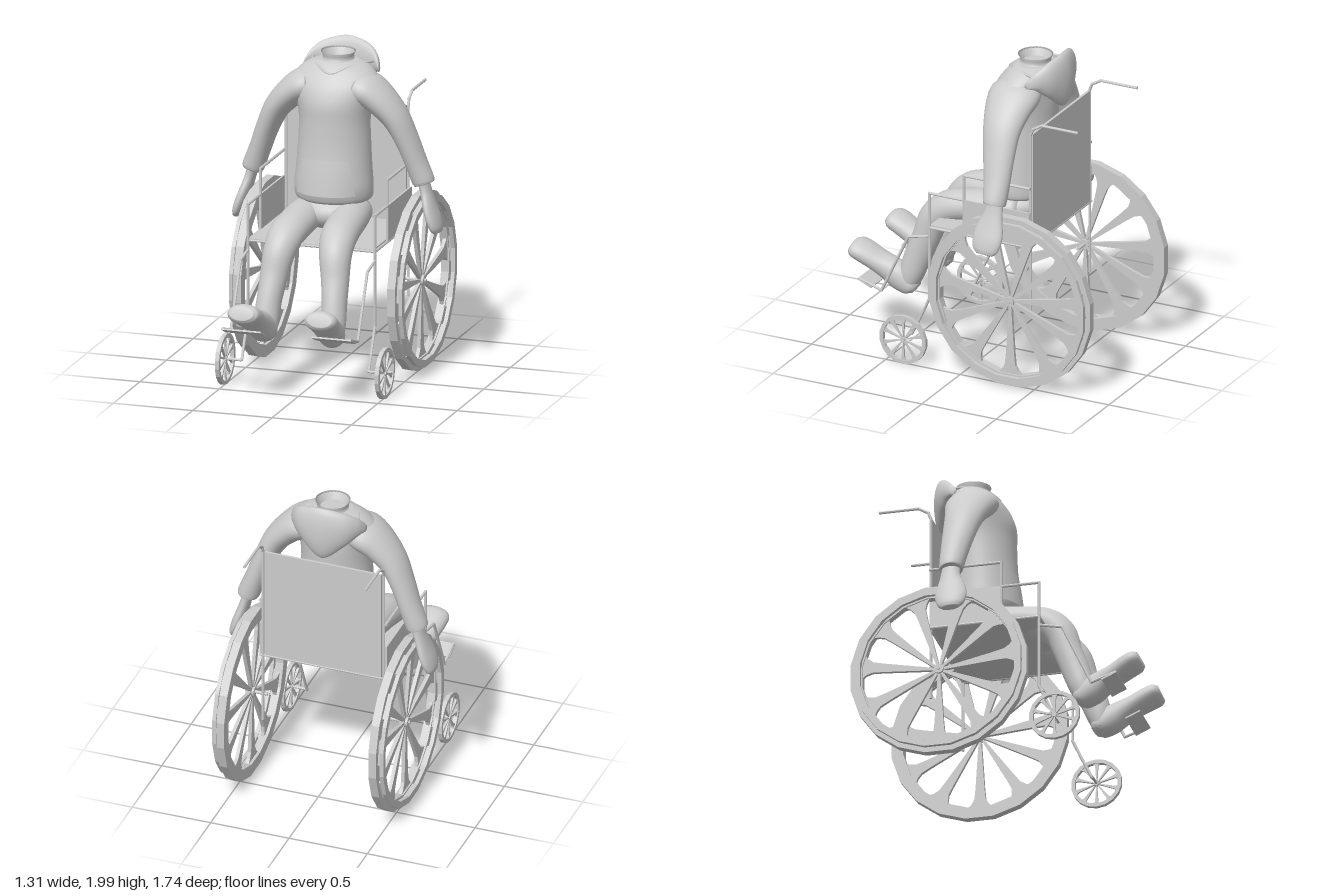
import * as THREE from 'three';
import { mergeGeometries } from 'three/addons/utils/BufferGeometryUtils.js';

const smooth = new THREE.MeshStandardMaterial({ color: 0xcccccc, side: THREE.DoubleSide });
const flat = new THREE.MeshStandardMaterial({ color: 0xcccccc, flatShading: true });
const V = (x, y, z) => new THREE.Vector3(x, y, z);
const X = V(1, 0, 0), Y = V(0, 1, 0), Z = V(0, 0, 1);

function add(parent, name, geometry, material = flat, x = 0, y = 0, z = 0) {
  const mesh = new THREE.Mesh(geometry, material);
  mesh.name = name;
  mesh.position.set(x, y, z);
  parent.add(mesh);
  return mesh;
}

// Closed body through elliptical rings: rows of [x, y, z, radius along side, other radius]
function loft(rows, side, fixed = null, seg = 28) {
  const path = new THREE.CatmullRomCurve3(rows.map(r => V(r[0], r[1], r[2])), false, 'catmullrom');
  const radii = new THREE.CatmullRomCurve3(rows.map(r => V(r[3], r[4], 0)), false, 'catmullrom');
  const n = (rows.length - 1) * 5, pos = [], idx = [];
  for (let k = -1; k <= n + 1; k++) {
    const u = Math.min(Math.max(k / n, 0), 1);
    const cap = k < 0 || k > n ? 0 : 1;
    const c = path.getPoint(u), r = radii.getPoint(u);
    const t = fixed || path.getTangent(u);
    const s = side.clone().addScaledVector(t, -t.dot(side)).normalize();
    const v = t.clone().cross(s);
    for (let j = 0; j < seg; j++) {
      const a = j / seg * Math.PI * 2;
      const p = c.clone().addScaledVector(s, cap * r.x * Math.cos(a)).addScaledVector(v, cap * r.y * Math.sin(a));
      pos.push(p.x, p.y, p.z);
    }
  }
  for (let i = 0; i < n + 2; i++) for (let j = 0; j < seg; j++) {
    const j2 = (j + 1) % seg;
    const a = i * seg + j, b = i * seg + j2, c = b + seg, d = a + seg;
    idx.push(a, b, c, a, c, d);
  }
  const g = new THREE.BufferGeometry();
  g.setAttribute('position', new THREE.Float32BufferAttribute(pos, 3));
  g.setIndex(idx);
  g.computeVertexNormals();
  return g;
}

// Straight tube segments through points
function rods(points, r = 0.009) {
  return mergeGeometries(points.slice(1).map((p, i) => {
    const d = p.clone().sub(points[i]);
    const g = new THREE.CylinderGeometry(r, r, d.length() + r, 8);
    g.applyQuaternion(new THREE.Quaternion().setFromUnitVectors(Y, d.clone().normalize()));
    return g.translate(...p.clone().add(points[i]).multiplyScalar(0.5).toArray());
  }));
}

const circle = (r, sides) => Array.from({ length: sides }, (_, i) => {
  const a = (i + 0.5) / sides * Math.PI * 2;
  return new THREE.Vector2(r * Math.cos(a), r * Math.sin(a));
});

// Flat polygonal ring from z0 to z1
function ring(outer, inner, z0, z1, sides) {
  const s = new THREE.Shape(circle(outer, sides));
  s.holes.push(new THREE.Path(circle(inner, sides)));
  return new THREE.ExtrudeGeometry(s, { depth: z1 - z0, bevelEnabled: false }).translate(0, 0, z0);
}

// Tapered spokes that flare into the rim, reaching radius R
function spokes(R, count, z0, z1) {
  const half = [[0.03, 0.014], [0.72, 0.058], [0.86, 0.072], [0.93, 0.11], [1, 0.18]];
  const outline = [...half, ...half.map(([r, w]) => [r, -w]).reverse()];
  const shape = new THREE.Shape(outline.map(([r, w]) => new THREE.Vector2(r * R, w * R)));
  return mergeGeometries(Array.from({ length: count }, (_, i) =>
    new THREE.ExtrudeGeometry(shape, { depth: z1 - z0, bevelEnabled: false })
      .translate(0, 0, z0).rotateZ(-Math.PI / 2 + i / count * Math.PI * 2)));
}

function hub(r, z0, z1) {
  return new THREE.CylinderGeometry(r, r, z1 - z0, 12).rotateX(Math.PI / 2).translate(0, 0, (z0 + z1) / 2);
}

function bigWheel() {
  const g = new THREE.Group();
  add(g, 'rim', ring(0.549, 0.475, 0.46, 0.51, 20));
  add(g, 'handRim', ring(0.523, 0.48, 0.522, 0.546, 20));
  add(g, 'spokes', spokes(0.48, 11, 0.478, 0.5));
  add(g, 'hub', hub(0.03, 0.465, 0.515));
  add(g, 'axle', hub(0.01, 0.385, 0.525));
  add(g, 'rimSpacers', mergeGeometries(Array.from({ length: 11 }, (_, i) =>
    new THREE.BoxGeometry(0.03, 0.16, 0.02).translate(0.495, 0, 0.516).rotateZ(-Math.PI / 2 + i / 11 * Math.PI * 2))));
  return g;
}

function caster() {
  const g = new THREE.Group();
  add(g, 'casterRim', ring(0.156, 0.133, 0.49, 0.516, 18));
  add(g, 'casterSpokes', spokes(0.136, 10, 0.497, 0.509));
  add(g, 'casterHub', hub(0.014, 0.49, 0.516));
  add(g, 'casterAxle', hub(0.008, 0.4, 0.51));
  return g;
}

function wheelchair() {
  const chair = new THREE.Group();
  chair.name = 'wheelchair';
  add(chair, 'seat', new THREE.BoxGeometry(0.78, 0.016, 0.67), flat, 0, 0.876, -0.075);
  add(chair, 'backrest', new THREE.BoxGeometry(0.745, 0.72, 0.016), flat, 0, 1.24, -0.415);
  add(chair, 'frontCrossTube', rods([V(-0.4, 0.872, 0.255), V(0.4, 0.872, 0.255)]));
  add(chair, 'rearCrossTube', rods([V(-0.4, 0.872, -0.415), V(0.4, 0.872, -0.415)]));
  for (const s of [1, -1]) {
    const tube = (name, x, zy) => add(chair, name, rods(zy.map(([z, y]) => V(s * x, y, z))));
    tube('backPostAndHandle', 0.385, [[-0.415, 0.42], [-0.415, 1.6], [-0.43, 1.64], [-0.49, 1.675], [-0.73, 1.675]]);
    tube('armrest', 0.4, [[0.025, 0.875], [0.025, 1.255], [-0.415, 1.255]]);
    tube('seatRail', 0.4, [[0.255, 0.872], [-0.415, 0.872]]);
    tube('frontFrame', 0.4, [[0.025, 1.095], [0.258, 1.095], [0.258, 0.41], [0.315, 0.285], [0.375, 0.16]]);
    tube('footrestHanger', 0.4, [[0.258, 0.815], [0.4, 0.785], [0.58, 0.4], [0.73, 0.45]]);
    add(chair, 'sidePanel', new THREE.BoxGeometry(0.012, 0.225, 0.445), flat, s * 0.4, 0.985, -0.195);
    const plate = add(chair, 'footPlate', new THREE.BoxGeometry(0.25, 0.01, 0.1), flat, s * 0.285, 0.428, 0.69);
    plate.rotation.x = -0.42;
    const wheel = bigWheel(), front = caster();
    wheel.name = 'bigWheel';
    wheel.position.set(0, 0.547, -0.335);
    front.name = 'casterWheel';
    front.position.set(0, 0.16, 0.38);
    wheel.rotation.y = front.rotation.y = s * Math.PI / 2;
    chair.add(wheel, front);
  }
  return chair;
}

function person() {
  const body = new THREE.Group();
  body.name = 'seatedPerson';
  add(body, 'torso', loft([
    [0, 1.065, -0.17, 0.215, 0.185], [0, 1.085, -0.17, 0.236, 0.2], [0, 1.15, -0.166, 0.24, 0.212],
    [0, 1.25, -0.17, 0.232, 0.205], [0, 1.4, -0.178, 0.222, 0.195], [0, 1.55, -0.182, 0.217, 0.193],
    [0, 1.66, -0.185, 0.232, 0.195], [0, 1.74, -0.195, 0.262, 0.182], [0, 1.8, -0.212, 0.268, 0.167],
    [0, 1.85, -0.23, 0.228, 0.146], [0, 1.885, -0.245, 0.178, 0.124], [0, 1.905, -0.25, 0.12, 0.1]], X, Y, 40), smooth);
  add(body, 'pelvis', new THREE.SphereGeometry(1, 28, 18).scale(0.215, 0.115, 0.2), smooth, 0, 0.995, -0.15);

  // Front pocket laid over the belly
  const pocket = new THREE.PlaneGeometry(2, 1, 16, 6);
  const p = pocket.attributes.position;
  for (let i = 0; i < p.count; i++) {
    const v = p.getY(i) + 0.5, x = p.getX(i) * (0.185 - 0.04 * v);
    const front = 0.046 - 0.024 * v, bulge = 0.01 * (1 - v * v * 0.8);
    p.setXYZ(i, x, 1.12 + 0.215 * v, -0.165 + (front + 0.165) * Math.sqrt(1 - (x / 0.237) ** 2) + bulge);
  }
  pocket.computeVertexNormals();
  add(body, 'pocket', pocket, smooth);

  // Hollow neck opening, hood and collar
  add(body, 'neck', new THREE.LatheGeometry([[0.13, 1.875], [0.096, 1.905], [0.094, 1.93], [0.106, 1.953],
    [0.096, 1.945], [0.08, 1.91], [0.05, 1.86], [0, 1.85]].map(q => new THREE.Vector2(...q)), 32), smooth, 0, 0, -0.25);
  add(body, 'hood', loft([
    [-0.235, 1.84, -0.315, 0.02, 0.02], [-0.205, 1.862, -0.36, 0.036, 0.055], [-0.135, 1.856, -0.407, 0.048, 0.112],
    [0, 1.825, -0.437, 0.05, 0.173],
    [0.135, 1.856, -0.407, 0.048, 0.112], [0.205, 1.862, -0.36, 0.036, 0.055], [0.235, 1.84, -0.315, 0.02, 0.02]], Z, X), smooth);
  add(body, 'collar', new THREE.TubeGeometry(new THREE.CatmullRomCurve3([
    V(-0.19, 1.878, -0.34), V(-0.165, 1.885, -0.26), V(-0.1, 1.883, -0.15), V(0, 1.85, -0.086),
    V(0.1, 1.883, -0.15), V(0.165, 1.885, -0.26), V(0.19, 1.878, -0.34)]), 40, 0.008, 8), smooth);

  for (const s of [1, -1]) {
    const limb = (name, rows, side) => add(body, name, loft(rows.map(([x, ...r]) => [s * x, ...r]), side), smooth);
    limb('sleeve', [[0.13, 1.765, -0.205, 0.15, 0.09], [0.2, 1.742, -0.208, 0.163, 0.1], [0.28, 1.685, -0.208, 0.146, 0.092],
      [0.37, 1.585, -0.214, 0.12, 0.079], [0.435, 1.455, -0.228, 0.101, 0.069], [0.49, 1.31, -0.243, 0.085, 0.066],
      [0.532, 1.2, -0.25, 0.074, 0.068], [0.54, 1.175, -0.25, 0.068, 0.062]], Z);
    limb('hand', [[0.533, 1.2, -0.25, 0.056, 0.034], [0.555, 1.12, -0.25, 0.062, 0.032], [0.583, 1.03, -0.24, 0.09, 0.035],
      [0.605, 0.965, -0.235, 0.096, 0.037], [0.624, 0.91, -0.232, 0.082, 0.032], [0.635, 0.882, -0.23, 0.055, 0.02]], Z);
    limb('leg', [[0.135, 0.98, -0.22, 0.09, 0.085], [0.142, 0.975, -0.05, 0.11, 0.098], [0.152, 0.955, 0.12, 0.113, 0.097],
      [0.163, 0.922, 0.245, 0.11, 0.1], [0.177, 0.842, 0.335, 0.098, 0.096], [0.192, 0.71, 0.385, 0.085, 0.086],
      [0.205, 0.57, 0.438, 0.076, 0.084], [0.21, 0.46, 0.475, 0.076, 0.076], [0.21, 0.37, 0.495, 0.066, 0.052]], X);
    limb('shoe', [[0.21, 0.362, 0.445, 0.045, 0.032], [0.212, 0.383, 0.47, 0.07, 0.068], [0.217, 0.425, 0.535, 0.079, 0.088],
      [0.222, 0.468, 0.605, 0.081, 0.08], [0.229, 0.508, 0.68, 0.088, 0.067], [0.24, 0.556, 0.77, 0.1, 0.065],
      [0.245, 0.577, 0.82, 0.098, 0.06], [0.246, 0.588, 0.846, 0.075, 0.042]], X);
  }
  return body;
}

export function createModel() {
  const model = new THREE.Group();
  model.name = 'personInWheelchair';
  model.add(wheelchair(), person());
  return model;
}
